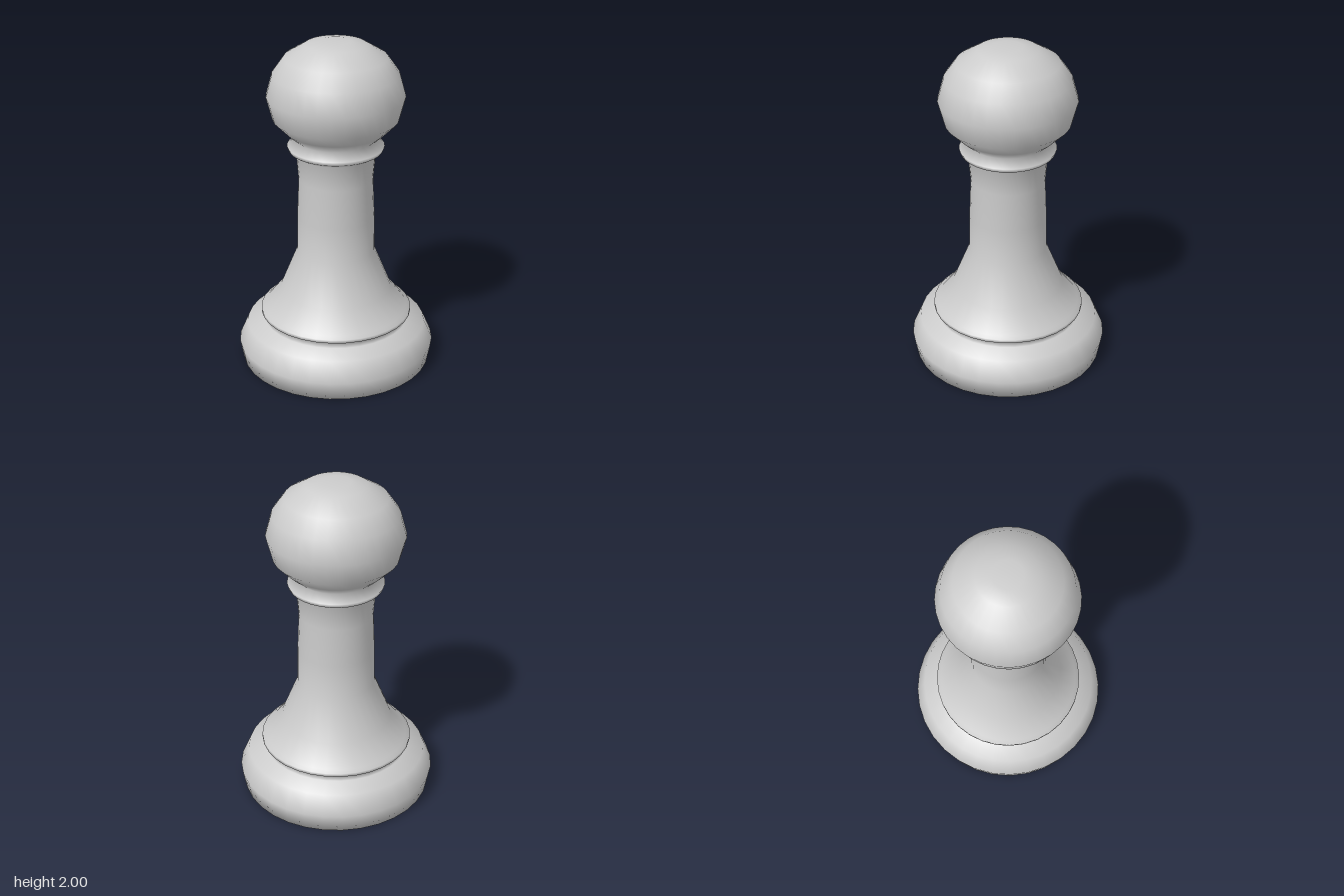
import * as THREE from 'three';

const SIDES = 32;

// Half-profile [radius, height] of each turned part, bottom to top;
// each part starts at the last point of the one below it
const PARTS = {
  base: [[0, 0], [0.57, 0], [0.592, 0.115], [0.54, 0.235], [0.437, 0.265]],
  ledge: [[0.437, 0.298], [0.455, 0.308], [0.455, 0.328], [0.43, 0.34]],
  stem: [[0.334, 0.463], [0.232, 0.715], [0.23, 0.93], [0.22, 1.17], [0.233, 1.325]],
  collar: [[0.275, 1.35], [0.285, 1.375], [0.235, 1.417]],
  ballHead: [[0.3, 1.475], [0.367, 1.543], [0.403, 1.68], [0.367, 1.81],
    [0.298, 1.908], [0.175, 1.984], [0.085, 2], [0, 2]],
};

export function createModel() {
  const group = new THREE.Group();
  group.name = 'pawn';
  const material = new THREE.MeshStandardMaterial({ color: 0xcccccc });

  // One lathe for the whole profile, so shading flows smoothly across parts
  const points = Object.values(PARTS).flat().map(([r, y]) => new THREE.Vector2(r, y));
  const n = points.length;
  const lathe = new THREE.LatheGeometry(points, SIDES);

  // Keep only the bands of the lathe between two profile points
  function bands(from, to) {
    const index = [];
    for (let i = 0; i < SIDES; i++) {
      for (let j = from; j < to; j++) {
        const a = i * n + j, b = a + n;
        index.push(a, b, a + 1, b + 1, a + 1, b);
      }
    }
    return lathe.clone().setIndex(index).toNonIndexed();
  }

  let from = 0, count = 0;
  for (const [name, profile] of Object.entries(PARTS)) {
    count += profile.length;
    const mesh = new THREE.Mesh(bands(from, count - 1), material);
    mesh.name = name;
    group.add(mesh);
    from = count - 1;
  }
  return group;
}
